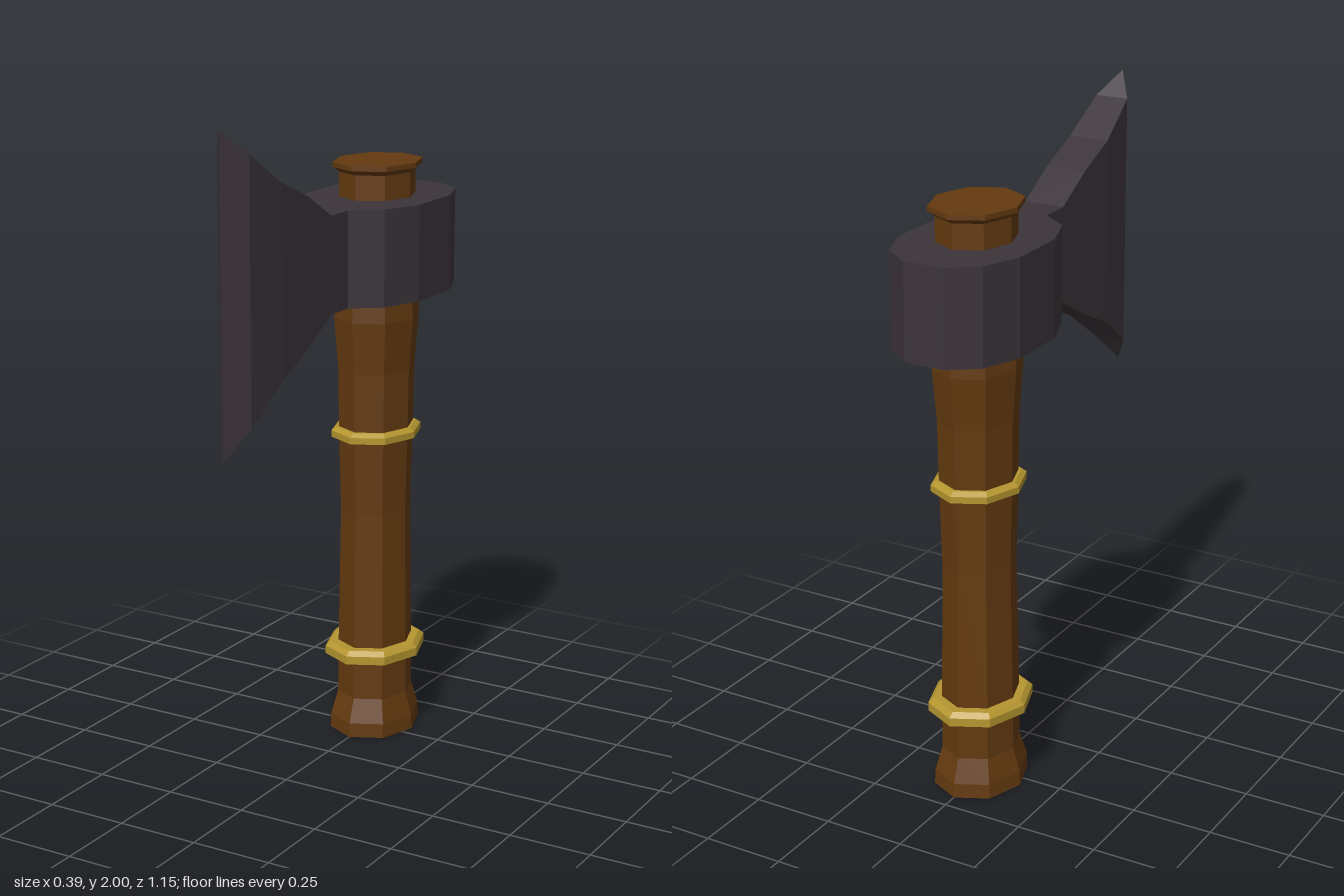
import * as THREE from 'three';

const mat = (color) => new THREE.MeshStandardMaterial({ color, flatShading: true });
const HANDLE_Z = -0.29;

// Eight-sided turned part with an oval section, deeper than it is wide
function turned(name, profile, material) {
  const points = profile.map(([r, y]) => new THREE.Vector2(r, y));
  const geometry = new THREE.LatheGeometry(points, 8).toNonIndexed();
  geometry.scale(1, 1, 1.2);
  geometry.translate(0, 0, HANDLE_Z);
  geometry.computeVertexNormals();
  const mesh = new THREE.Mesh(geometry, material);
  mesh.name = name;
  return mesh;
}

// Ring with a straight lower band and a bevelled top
function ring(name, radius, y0, y1, material) {
  const inner = 0.09;
  const bevelY = y0 + (y1 - y0) * 0.65;
  return turned(name, [
    [inner, y0], [radius, y0], [radius, bevelY], [radius - 0.014, y1], [inner, y1],
  ], material);
}

// Blade lofted through sections of [z, bottom, top, half thickness]
function bladeGeometry(sections) {
  const loops = sections.map(([z, bottom, top, h]) => [
    [h, bottom, z], [h, top, z], [-h, top, z], [-h, bottom, z],
  ]);
  const positions = [];
  for (let s = 0; s < loops.length - 1; s++) {
    for (let i = 0; i < 4; i++) {
      const j = (i + 1) % 4;
      const a = loops[s][i], b = loops[s][j], c = loops[s + 1][j], d = loops[s + 1][i];
      positions.push(...a, ...b, ...c, ...a, ...c, ...d);
    }
  }
  const geometry = new THREE.BufferGeometry();
  geometry.setAttribute('position', new THREE.Float32BufferAttribute(positions, 3));
  geometry.computeVertexNormals();
  return geometry;
}

export function createModel() {
  const wood = mat(0x643a10);
  const gold = mat(0xb5962f);
  const iron = mat(0x3b3439);
  const model = new THREE.Group();
  model.name = 'axe';

  // Handle with flared foot, swelling below the head and a lipped top
  model.add(turned('handle', [
    [0, 0], [0.135, 0], [0.133, 0.045], [0.112, 0.12], [0.111, 0.28], [0.104, 0.72],
    [0.11, 0.96], [0.113, 1.17], [0.125, 1.33], [0.12, 1.42], [0.111, 1.7],
    [0.111, 1.775], [0.13, 1.79], [0.13, 1.805], [0, 1.805],
  ], wood));

  model.add(ring('lowerRing', 0.15, 0.25, 0.29, gold));
  model.add(ring('upperRing', 0.133, 0.957, 0.988, gold));

  // Axe head: faceted collar around the handle, and the blade in front of it
  const head = new THREE.Group();
  head.name = 'axeHead';
  const half = [[0.063, -0.005], [0.148, -0.07], [0.195, -0.195], [0.195, -0.39], [0.148, -0.51], [0.063, -0.573]];
  const outline = [...half, ...half.map(([x, z]) => [-x, z]).reverse()];
  const collarGeometry = new THREE.ExtrudeGeometry(
    new THREE.Shape(outline.map(([x, z]) => new THREE.Vector2(x, -z))),
    { depth: 0.29, bevelEnabled: false },
  );
  collarGeometry.rotateX(-Math.PI / 2);
  collarGeometry.translate(0, 1.41, 0);
  const collar = new THREE.Mesh(collarGeometry, iron);
  collar.name = 'collar';

  const blade = new THREE.Mesh(bladeGeometry([
    [-0.005, 1.41, 1.7, 0.063],
    [0.09, 1.41, 1.7, 0.063],
    [0.22, 1.335, 1.775, 0.063],
    [0.36, 1.27, 1.835, 0.063],
    [0.505, 1.165, 1.93, 0.052],
    [0.573, 1.075, 2, 0],
  ]), iron);
  blade.name = 'blade';
  head.add(collar, blade);
  model.add(head);

  return model;
}
